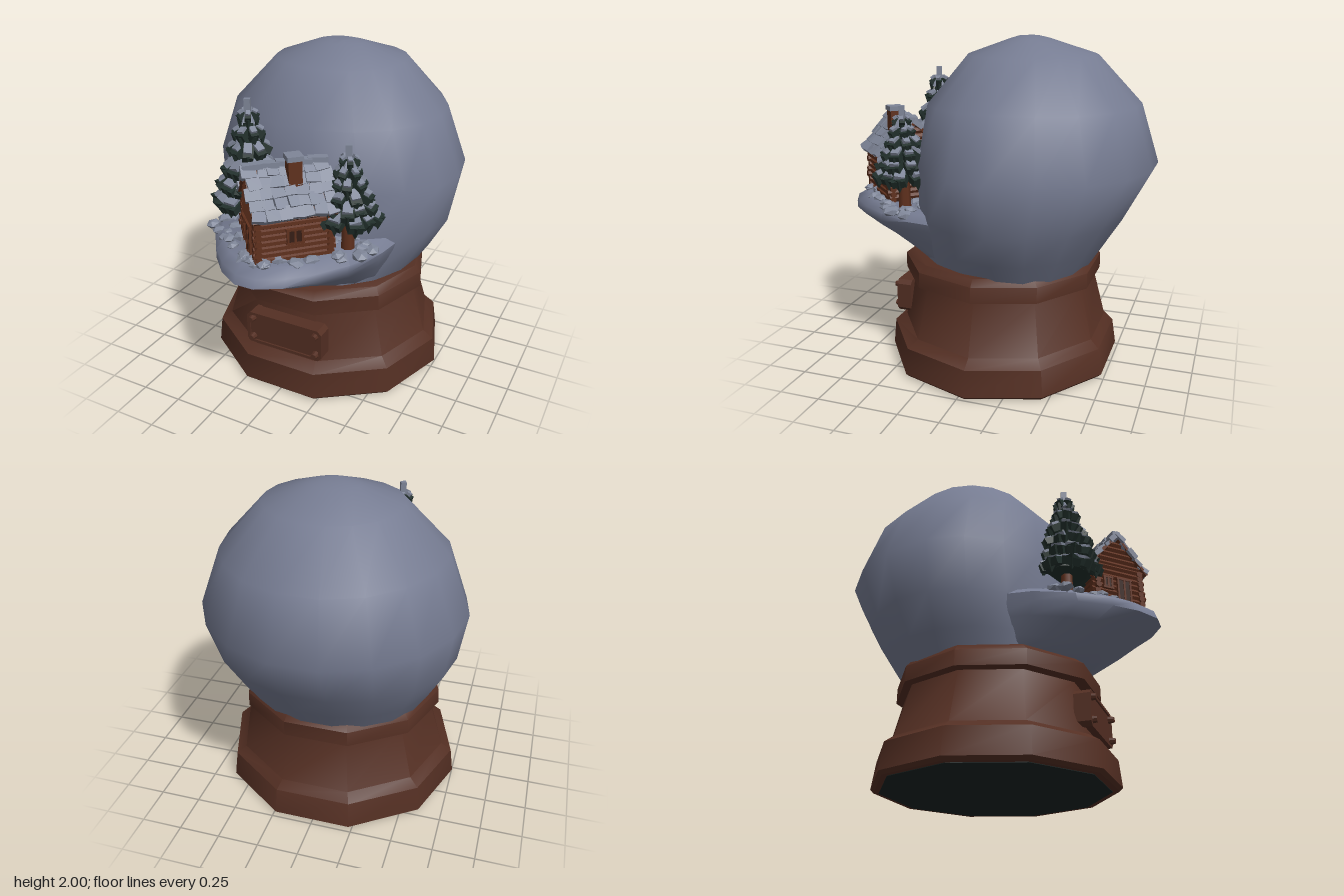
import * as THREE from 'three';
import { mergeGeometries, toCreasedNormals } from 'three/addons/utils/BufferGeometryUtils.js';

const paint = (name, color) => Object.assign(new THREE.MeshStandardMaterial({ color }), { name });

// Seeded random numbers, so that the rough parts are always the same
function seeded(seed) {
  return (lo, hi) => {
    seed = (seed * 16807) % 2147483647;
    return lo + (hi - lo) * (seed / 2147483647);
  };
}

// Places a geometry with flat faces into a list, to be merged later
function put(list, geo, [x, y, z], [rx, ry, rz] = [0, 0, 0]) {
  const g = geo.index ? geo.toNonIndexed() : geo;
  g.computeVertexNormals();
  g.applyMatrix4(new THREE.Matrix4().makeRotationFromEuler(new THREE.Euler(rx, ry, rz, 'YXZ')).setPosition(x, y, z));
  list.push(g);
}

function add(parent, name, geo, material) {
  const mesh = new THREE.Mesh(Array.isArray(geo) ? mergeGeometries(geo) : geo, material);
  mesh.name = name;
  parent.add(mesh);
  return mesh;
}

// Skin over closed rings of points, listed from bottom to top
function loft(rings, crease) {
  const n = rings[0].length, pos = rings.flat(2), index = [];
  for (let i = 0; i < rings.length - 1; i++)
    for (let j = 0; j < n; j++) {
      const a = i * n + j, b = i * n + (j + 1) % n;
      index.push(a, b, b + n, a, b + n, a + n);
    }
  const last = (rings.length - 1) * n;
  for (let j = 1; j < n - 1; j++) index.push(last, last + j, last + j + 1, 0, j + 1, j);
  const geo = new THREE.BufferGeometry();
  geo.setAttribute('position', new THREE.Float32BufferAttribute(pos, 3));
  geo.setIndex(index);
  return toCreasedNormals(geo, crease);
}

// Ring with its own half width, front and back reach
function ring(n, shift, [y, rx, front, back], middle) {
  return Array.from({ length: n }, (_, j) => {
    const a = ((j + shift) / n) * Math.PI * 2, c = Math.cos(a);
    return [Math.sin(a) * rx, y, middle + c * (c > 0 ? front - middle : middle - back)];
  });
}

function makeTree(name, height, radius, mats, seed) {
  const tree = new THREE.Group(), rnd = seeded(seed), green = [], snow = [];
  tree.name = name;
  add(tree, 'trunk', new THREE.CylinderGeometry(0.03, 0.04, 0.35, 7).translate(0, 0.155, 0), mats.log);
  const tiers = 6, low = 0.23, span = height - low - 0.1;
  put(green, new THREE.ConeGeometry(radius * 0.55, height - low, 8), [0, (height + low) / 2 - 0.02, 0]);
  for (let t = 0; t < tiers; t++) {
    const f = t / (tiers - 1), r = radius * (1 - 0.72 * f), y = low + span * f, n = 10 - t;
    for (let k = 0; k < n; k++) {
      const a = ((k + (t % 2) / 2) / n) * Math.PI * 2 + rnd(-0.12, 0.12);
      const len = r * rnd(0.8, 1), wide = r * 0.36 + 0.012, droop = rnd(0.4, 0.65);
      const at = (d, h) => [Math.sin(a) * d, y + h, Math.cos(a) * d];
      put(green, new THREE.BoxGeometry(wide, 0.045, len * 0.75), at(len * 0.62, 0), [droop, a, rnd(-0.2, 0.2)]);
      put(green, new THREE.ConeGeometry(wide * 0.5, 0.08, 4), at(len * 0.85, -0.045), [Math.PI, a, 0]);
      put(snow, new THREE.BoxGeometry(wide * 0.75, 0.026, len * 0.5), at(len * 0.68, 0.026), [droop, a, rnd(-0.25, 0.25)]);
    }
  }
  put(snow, new THREE.BoxGeometry(0.035, 0.1, 0.035), [0, height - 0.05, 0], [0, 0.4, 0]);
  put(snow, new THREE.CylinderGeometry(0.03, 0.055, 0.05, 6), [0, height - 0.1, 0]);
  add(tree, 'branches', green, mats.needles);
  add(tree, 'branchSnow', snow, mats.snow);
  return tree;
}

function makeCabin(mats) {
  const cabin = new THREE.Group(), rnd = seeded(77), logs = [], snow = [], trim = [];
  cabin.name = 'cabin';
  const w = 0.15, l = 0.2, eave = 0.27, ridge = 0.48;
  // Log walls with crossed ends
  for (let i = 0; i < 8; i++) {
    const y = 0.018 + i * 0.034;
    for (const s of [-1, 1]) {
      put(logs, new THREE.CylinderGeometry(0.02, 0.02, 2 * l + rnd(0.04, 0.07), 6), [s * w, y, 0], [Math.PI / 2, 0, 0]);
      put(logs, new THREE.CylinderGeometry(0.02, 0.02, 2 * w + rnd(0.04, 0.07), 6), [0, y + 0.012, s * l], [0, 0, Math.PI / 2]);
    }
  }
  // Gable logs, shorter towards the ridge
  for (let i = 0; i < 5; i++)
    for (const s of [-1, 1])
      put(logs, new THREE.CylinderGeometry(0.02, 0.02, 2 * w * (1 - i * 0.19), 6), [0, 0.29 + i * 0.036, s * l], [0, 0, Math.PI / 2]);
  add(cabin, 'logWalls', logs, mats.log);
  const gable = new THREE.Shape([[-w, 0], [w, 0], [w, 0.28], [0, 0.46], [-w, 0.28]].map(p => new THREE.Vector2(...p)));
  add(cabin, 'innerWalls', new THREE.ExtrudeGeometry(gable, { depth: 2 * l, bevelEnabled: false }).translate(0, 0, -l), mats.dark);

  // Door and windows: dark openings with log frames
  const opening = (name, width, height, x, y, z, turn) => {
    const g = new THREE.Group();
    g.name = name;
    g.position.set(x, y, z);
    g.rotation.y = turn;
    add(g, 'pane', new THREE.BoxGeometry(width, height, 0.008), mats.dark);
    const bars = [];
    for (const s of [-1, 0, 1]) put(bars, new THREE.BoxGeometry(0.012, height, 0.016), [s * width / 2, 0, 0]);
    for (const s of [-1, 1]) put(bars, new THREE.BoxGeometry(width + 0.02, 0.012, 0.018), [0, s * height / 2, 0]);
    add(g, 'frame', bars, mats.log);
    cabin.add(g);
  };
  opening('door', 0.085, 0.18, 0.03, 0.1, l + 0.022, 0);
  opening('gableWindow', 0.05, 0.07, -0.08, 0.15, l + 0.022, 0);
  for (const s of [-1, 1]) opening('sideWindow', 0.08, 0.08, s * (w + 0.022), 0.15, 0, s * Math.PI / 2);

  // Roof boards, with rows of broken snow slabs
  const tilt = Math.atan2(ridge - eave + 0.02, 0.2), slope = 0.305;
  for (const s of [-1, 1]) {
    put(trim, new THREE.BoxGeometry(slope, 0.018, 0.46), [s * 0.1, (ridge + eave) / 2, 0], [0, 0, -s * tilt]);
    for (let r = 0; r < 5; r++)
      for (let c = 0; c < 7; c++) {
        const f = (r + 0.5) / 5;
        put(snow, new THREE.BoxGeometry(rnd(0.065, 0.085), rnd(0.02, 0.035), rnd(0.06, 0.085)),
          [s * 0.205 * f, ridge + 0.018 - f * 0.225, (c - 3) * 0.066 + rnd(-0.01, 0.01)],
          [rnd(-0.12, 0.12), rnd(-0.2, 0.2), -s * (tilt - 0.12) + rnd(-0.12, 0.12)]);
      }
  }
  for (let c = 0; c < 5; c++)
    put(snow, new THREE.BoxGeometry(0.05, 0.03, 0.11), [0, ridge + 0.025, (c - 2) * 0.09], [rnd(-0.1, 0.1), rnd(-0.2, 0.2), 0]);
  add(cabin, 'roofBoards', trim, mats.log);
  add(cabin, 'roofSnow', snow, mats.snow);

  // Chimney with a snow cap
  add(cabin, 'chimney', new THREE.BoxGeometry(0.075, 0.2, 0.075).translate(0.06, 0.45, -0.03), mats.log);
  add(cabin, 'chimneySnow', new THREE.BoxGeometry(0.09, 0.028, 0.09).translate(0.06, 0.555, -0.03), mats.snow);
  cabin.position.set(0.065, 1.0, 0.615);
  cabin.rotation.y = -Math.PI / 4;
  return cabin;
}

export function createModel() {
  const model = new THREE.Group();
  model.name = 'snowGlobe';
  const mats = {
    glass: paint('frostedGlass', 0x767c92), snow: paint('snow', 0x7f8698), wood: paint('baseWood', 0x542f23),
    log: paint('logWood', 0x5f301d), dark: paint('darkWood', 0x351d15), needles: paint('needles', 0x22302c),
    under: paint('underside', 0x1a2423),
  };

  // Ten-sided wooden base and collar: y, half width, front, back
  const base = [[0, 0.735, 0.63, -0.72], [0.02, 0.755, 0.65, -0.74], [0.18, 0.735, 0.635, -0.715], [0.225, 0.67, 0.56, -0.66],
    [0.54, 0.575, 0.49, -0.58], [0.545, 0.63, 0.555, -0.62], [0.64, 0.625, 0.555, -0.62], [0.68, 0.59, 0.5, -0.58]];
  const shaped = ([y, rx, f, b]) => ring(10, 0.5, [y, rx, f + 0.03, b - 0.03], -0.045);
  add(model, 'base', loft(base.map(shaped), 0.75), mats.wood);
  const sole = shaped([0, 0.7, 0.59, -0.69]);
  add(model, 'underside', loft([sole.map(([x, , z]) => [x, -0.003, z]), sole], 0.5), mats.under);

  // Faceted globe, leaning to the back
  const globe = [[0.64, 0.54, 0.47, -0.6], [0.78, 0.63, 0.47, -0.69], [0.97, 0.735, 0.46, -0.81], [1.27, 0.785, 0.45, -0.97],
    [1.62, 0.655, 0.4, -0.86], [1.895, 0.4, 0.17, -0.6], [1.985, 0.15, -0.08, -0.31], [2.0, 0.08, -0.13, -0.25]];
  add(model, 'globe', loft(globe.map(g => ring(18, 0.5, g, g[0] > 1.8 ? -0.2 : -0.17)), 1.0), mats.glass);

  // Snow ledge growing out of the front
  const half = [[0.06, 0.97], [0.2, 0.89], [0.32, 0.77], [0.44, 0.6], [0.54, 0.38], [0.58, 0.1]];
  const outline = [...half, ...half.map(([x, z]) => [-x, z]).reverse()];
  const ledge = [[0.66, 0.78, 0.4], [0.75, 0.85, 0.6], [0.84, 0.92, 0.84], [0.91, 0.97, 1], [0.96, 1, 0.98], [1.0, 0.93, 0.9]];
  add(model, 'snowLedge', loft(ledge.map(([y, sx, sz]) => outline.map(([x, z]) => [x * sx, y, 0.1 + (z - 0.1) * sz])), 1.0), mats.glass);

  // Snow lumps lying around the cabin
  const rnd = seeded(5), lumps = [];
  for (let i = 0; i < 75; i++) {
    const z = rnd(0.36, 0.88), reach = Math.min(0.5, (0.93 - z) * 1.25), r = rnd(0.025, 0.05);
    put(lumps, new THREE.IcosahedronGeometry(r, 0).scale(1.3, 0.7, 1.1), [rnd(-reach, reach), rnd(0.985, 1.015), z], [0, rnd(0, 6), 0]);
  }
  add(model, 'snowLumps', lumps, mats.snow);

  // Cabin between two firs
  model.add(makeCabin(mats));
  const leftFir = makeTree('smallFir', 0.63, 0.2, mats, 31), rightFir = makeTree('tallFir', 0.8, 0.235, mats, 12);
  leftFir.position.set(0.37, 0.98, 0.47);
  rightFir.position.set(-0.24, 0.98, 0.49);
  model.add(leftFir, rightFir);

  // Blank plaque with a raised rim and four bolts
  const plaque = new THREE.Group();
  plaque.name = 'plaque';
  const plate = (w, h, c) => [[-w, -h + c], [-w + c, -h], [w - c, -h], [w, -h + c], [w, h - c], [w - c, h], [-w + c, h], [-w, h - c]]
    .map(p => new THREE.Vector2(...p));
  const rim = new THREE.Shape(plate(0.255, 0.105, 0.025));
  rim.holes.push(new THREE.Path(plate(0.235, 0.088, 0.02).reverse()));
  add(plaque, 'rim', new THREE.ExtrudeGeometry(rim, { depth: 0.095, bevelEnabled: false }), mats.wood);
  add(plaque, 'panel', new THREE.BoxGeometry(0.48, 0.19, 0.085).translate(0, 0, 0.0425), mats.wood);
  const bolts = [];
  for (const sx of [-1, 1])
    for (const sy of [-1, 1])
      put(bolts, new THREE.CylinderGeometry(0.018, 0.024, 0.04, 8), [sx * 0.215, sy * 0.065, 0.1], [Math.PI / 2, 0, 0]);
  add(plaque, 'bolts', bolts, mats.wood);
  plaque.position.set(0.01, 0.365, 0.5);
  model.add(plaque);
  return model;
}
